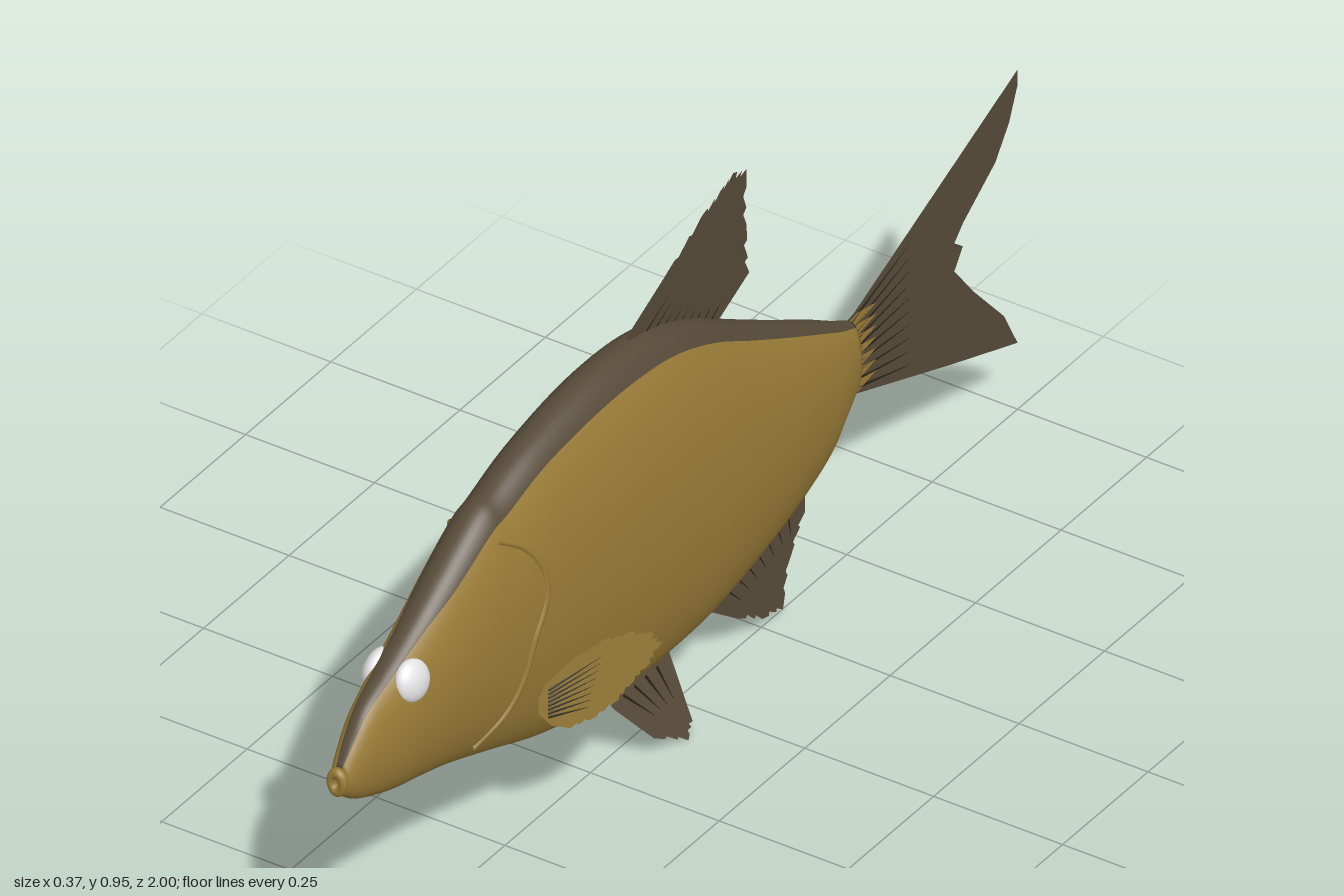
import * as THREE from 'three';

const material = (name, color) => {
  const m = new THREE.MeshStandardMaterial({ color, side: THREE.DoubleSide });
  m.name = name;
  return m;
};

// Body stations from snout to tail: z, top, bottom, half width, angle of the dark back
const STATIONS = [
  [0.985, 0.44, 0.385, 0.018, 0.3],
  [0.96, 0.475, 0.365, 0.026, 0.35],
  [0.92, 0.52, 0.345, 0.036, 0.35],
  [0.85, 0.56, 0.322, 0.05, 0.35],
  [0.78, 0.602, 0.306, 0.058, 0.4],
  [0.7, 0.655, 0.285, 0.067, 0.5],
  [0.6, 0.718, 0.25, 0.076, 0.5],
  [0.55, 0.732, 0.232, 0.081, 0.48],
  [0.45, 0.766, 0.196, 0.088, 0.46],
  [0.32, 0.791, 0.163, 0.094, 0.47],
  [0.2, 0.798, 0.146, 0.097, 0.48],
  [0.08, 0.783, 0.141, 0.098, 0.48],
  [-0.04, 0.735, 0.148, 0.095, 0.47],
  [-0.16, 0.662, 0.17, 0.086, 0.45],
  [-0.28, 0.592, 0.2, 0.072, 0.45],
  [-0.4, 0.525, 0.24, 0.052, 0.48],
  [-0.46, 0.489, 0.283, 0.038, 0.5],
  [-0.51, 0.462, 0.318, 0.024, 0.5],
];

// Half width of the body at a given z and y
function surfaceX(z, y) {
  let i = 0;
  while (i < STATIONS.length - 2 && STATIONS[i + 1][0] > z) i++;
  const a = STATIONS[i], b = STATIONS[i + 1];
  const k = (z - a[0]) / (b[0] - a[0]);
  const [, top, bottom, w] = a.map((v, n) => v + (b[n] - v) * k);
  const d = (2 * y - top - bottom) / (top - bottom);
  return w * Math.pow(Math.max(0, 1 - d * d), 0.45);
}

// Lofted body: the first BACK segments of each ring are dark, the rest gold
function bodyGeometry() {
  const RINGS = 100, SEGS = 48, BACK = 12;
  const spline = (f) => new THREE.CatmullRomCurve3(STATIONS.map(f), false, 'catmullrom', 0.5);
  const outline = spline((s) => new THREE.Vector3(s[0], s[1], s[2]));
  const girth = spline((s) => new THREE.Vector3(s[0], s[3], s[4]));
  const pos = [], back = [], flank = [];
  for (let i = -1; i <= RINGS + 1; i++) {
    const u = THREE.MathUtils.clamp(i / RINGS, 0, 1);
    const o = outline.getPoint(u), g = girth.getPoint(u);
    const size = i < 0 || i > RINGS ? 0.01 : 1; // closing rings
    const mid = (o.y + o.z) / 2, h = ((o.y - o.z) / 2) * size, w = g.y * size;
    for (let j = 0; j < SEGS; j++) {
      const t = j <= BACK
        ? -g.z + (2 * g.z * j) / BACK
        : g.z + ((2 * Math.PI - 2 * g.z) * (j - BACK)) / (SEGS - BACK);
      const s = Math.sin(t);
      pos.push(w * Math.sign(s) * Math.pow(Math.abs(s), 0.9), mid + h * Math.cos(t), o.x);
    }
  }
  for (let i = 0; i < RINGS + 2; i++) {
    for (let j = 0; j < SEGS; j++) {
      const a = i * SEGS + j, b = i * SEGS + ((j + 1) % SEGS);
      (j < BACK ? back : flank).push(a, b, a + SEGS, b, b + SEGS, a + SEGS);
    }
  }
  const geo = new THREE.BufferGeometry();
  geo.setAttribute('position', new THREE.Float32BufferAttribute(pos, 3));
  geo.setIndex(back.concat(flank));
  geo.addGroup(0, back.length, 0);
  geo.addGroup(back.length, flank.length, 1);
  geo.computeVertexNormals();
  return geo;
}

// Cut small notches into the edges from point `from` to point `to`
function fray(pts, from, to, center) {
  const out = [];
  pts.forEach((p, i) => {
    out.push(p);
    if (i < from || i >= to) return;
    const q = pts[i + 1];
    for (const k of [0.33, 0.4, 0.7, 0.76]) {
      const pull = k === 0.4 || k === 0.76 ? 0.06 : 0;
      out.push([0, 1].map((n) => {
        const v = p[n] + (q[n] - p[n]) * k;
        return v + (center[n] - v) * pull;
      }));
    }
  });
  return out;
}

// Thin fin outlined in (z, y); xOf places it sideways
function finMesh(name, pts, xOf, mat) {
  const geo = new THREE.ShapeGeometry(new THREE.Shape(pts.map((p) => new THREE.Vector2(...p))));
  const p = geo.attributes.position;
  for (let i = 0; i < p.count; i++) {
    const z = p.getX(i), y = p.getY(i);
    p.setXYZ(i, xOf(z, y), y, z);
  }
  geo.computeVertexNormals();
  const mesh = new THREE.Mesh(geo, mat);
  mesh.name = name;
  return mesh;
}

// Tapered rays fanning from the root line a-b towards the line c-d
function finRays(count, [a, b, c, d], xOf, mat) {
  const group = new THREE.Group();
  group.name = 'finRays';
  const at = (p, q, k) => {
    const z = p[0] + (q[0] - p[0]) * k, y = p[1] + (q[1] - p[1]) * k;
    return new THREE.Vector3(xOf(z, y), y, z);
  };
  for (let i = 0; i < count; i++) {
    const k = (i + 0.5) / count;
    const start = at(a, b, k), end = at(c, d, k);
    const dir = end.clone().sub(start);
    const ray = new THREE.Mesh(new THREE.CylinderGeometry(0.0005, 0.003, dir.length(), 5), mat);
    ray.position.copy(start).lerp(end, 0.5);
    ray.quaternion.setFromUnitVectors(new THREE.Vector3(0, 1, 0), dir.normalize());
    group.add(ray);
  }
  return group;
}

export function createModel() {
  const model = new THREE.Group();
  model.name = 'fish';
  const gold = material('goldScales', 0x9a7c38);
  const dark = material('darkBack', 0x574b39);
  const rayMat = material('rayBrown', 0x2a2318);
  const white = material('eyeWhite', 0xe4e4e6);
  const add = (geo, mat, name) => {
    const mesh = new THREE.Mesh(geo, mat);
    mesh.name = name;
    model.add(mesh);
    return mesh;
  };

  add(bodyGeometry(), [dark, gold], 'body');

  // Lips
  const lips = add(new THREE.TorusGeometry(0.015, 0.009, 10, 24), gold, 'lips');
  lips.scale.set(0.8, 1.15, 1);
  lips.position.set(0, 0.413, 0.99);

  // Forked tail with a gold, fringed root
  const flat = () => 0;
  const tail = [[-0.49, 0.465], [-0.52, 0.47], [-1, 0.675], [-1, 0.645], [-0.975, 0.585], [-0.935, 0.53],
    [-0.84, 0.465], [-0.815, 0.44], [-0.84, 0.42], [-0.815, 0.385], [-0.87, 0.315], [-0.96, 0.215],
    [-1, 0.14], [-0.8, 0.21], [-0.52, 0.312], [-0.49, 0.32]];
  model.add(finMesh('tailFin', tail, flat, dark));
  model.add(finRays(10, [[-0.5, 0.46], [-0.5, 0.322], [-0.68, 0.525], [-0.68, 0.265]], flat, rayMat));
  const fringe = [[-0.49, 0.32], [-0.49, 0.462]];
  for (let i = 0; i <= 14; i++) fringe.push([i % 2 ? -0.585 : -0.53, 0.468 - (i / 14) * 0.155]);
  for (const s of [-1, 1]) model.add(finMesh('tailRoot', fringe, () => s * 0.002, gold));

  // Dorsal fin, leaning slightly sideways
  const dorsal = [[0.15, 0.805], [0.05, 0.86], [-0.06, 0.925], [-0.115, 0.945], [-0.15, 0.96], [-0.19, 0.945],
    [-0.2, 0.83], [-0.215, 0.725], [-0.12, 0.68], [-0.1, 0.64], [0.1, 0.73]];
  const dorsalX = (z, y) => Math.max(0, y - 0.75) * 0.055;
  model.add(finMesh('dorsalFin', fray(dorsal, 1, 7, [-0.05, 0.8]), dorsalX, dark));
  model.add(finRays(9, [[0.12, 0.78], [-0.1, 0.68], [0.02, 0.835], [-0.17, 0.73]], dorsalX, rayMat));

  // Anal fin
  const anal = [[-0.04, 0.17], [-0.17, 0.075], [-0.24, 0.035], [-0.3, 0.02], [-0.325, 0.1], [-0.375, 0.165],
    [-0.38, 0.24], [-0.2, 0.22]];
  const analX = (z, y) => Math.max(0, 0.2 - y) * 0.05;
  model.add(finMesh('analFin', fray(anal, 1, 5, [-0.22, 0.17]), analX, dark));
  model.add(finRays(7, [[-0.1, 0.17], [-0.34, 0.21], [-0.17, 0.1], [-0.345, 0.15]], analX, rayMat));

  // Paired parts
  const pelvic = [[0.24, 0.16], [0.225, 0.13], [0.16, 0.05], [0.085, 0.01], [0.06, 0.03], [0.055, 0.16]];
  const pectoral = [[0.51, 0.33], [0.5, 0.355], [0.455, 0.39], [0.41, 0.41], [0.37, 0.412], [0.335, 0.4],
    [0.318, 0.375], [0.335, 0.34], [0.36, 0.315], [0.385, 0.285], [0.42, 0.263], [0.46, 0.255],
    [0.49, 0.27], [0.51, 0.3]];
  const gill = [[0.59, 0.675], [0.54, 0.64], [0.505, 0.585], [0.5, 0.53], [0.535, 0.46], [0.555, 0.4],
    [0.59, 0.345], [0.655, 0.305]];
  for (const s of [-1, 1]) {
    const side = s > 0 ? 'left' : 'right';
    const pelvicX = (z, y) => s * (0.022 + (0.15 - y) * 0.42);
    model.add(finMesh(side + 'PelvicFin', fray(pelvic, 2, 4, [0.14, 0.12]), pelvicX, dark));
    model.add(finRays(4, [[0.21, 0.14], [0.08, 0.14], [0.15, 0.08], [0.075, 0.08]], pelvicX, rayMat));

    const pectoralX = (z) => s * (0.078 + (0.5 - z) * 0.58);
    model.add(finMesh(side + 'PectoralFin', fray(pectoral, 2, 11, [0.45, 0.33]), pectoralX, gold));
    model.add(finRays(8, [[0.495, 0.345], [0.495, 0.285], [0.41, 0.385], [0.435, 0.28]], pectoralX, rayMat));

    const eye = add(new THREE.SphereGeometry(0.037, 28, 20), white, side + 'Eye');
    eye.scale.set(0.55, 1, 1);
    eye.position.set(s * 0.034, 0.53, 0.823);
    eye.rotation.set(0, s * -0.12, s * 0.25);

    // Raised edge of the gill cover
    const path = gill.map(([z, y]) => new THREE.Vector3(s * (surfaceX(z, y) - 0.004), y, z));
    add(new THREE.TubeGeometry(new THREE.CatmullRomCurve3(path), 40, 0.008, 8), gold, side + 'GillCoverEdge');
  }
  return model;
}
